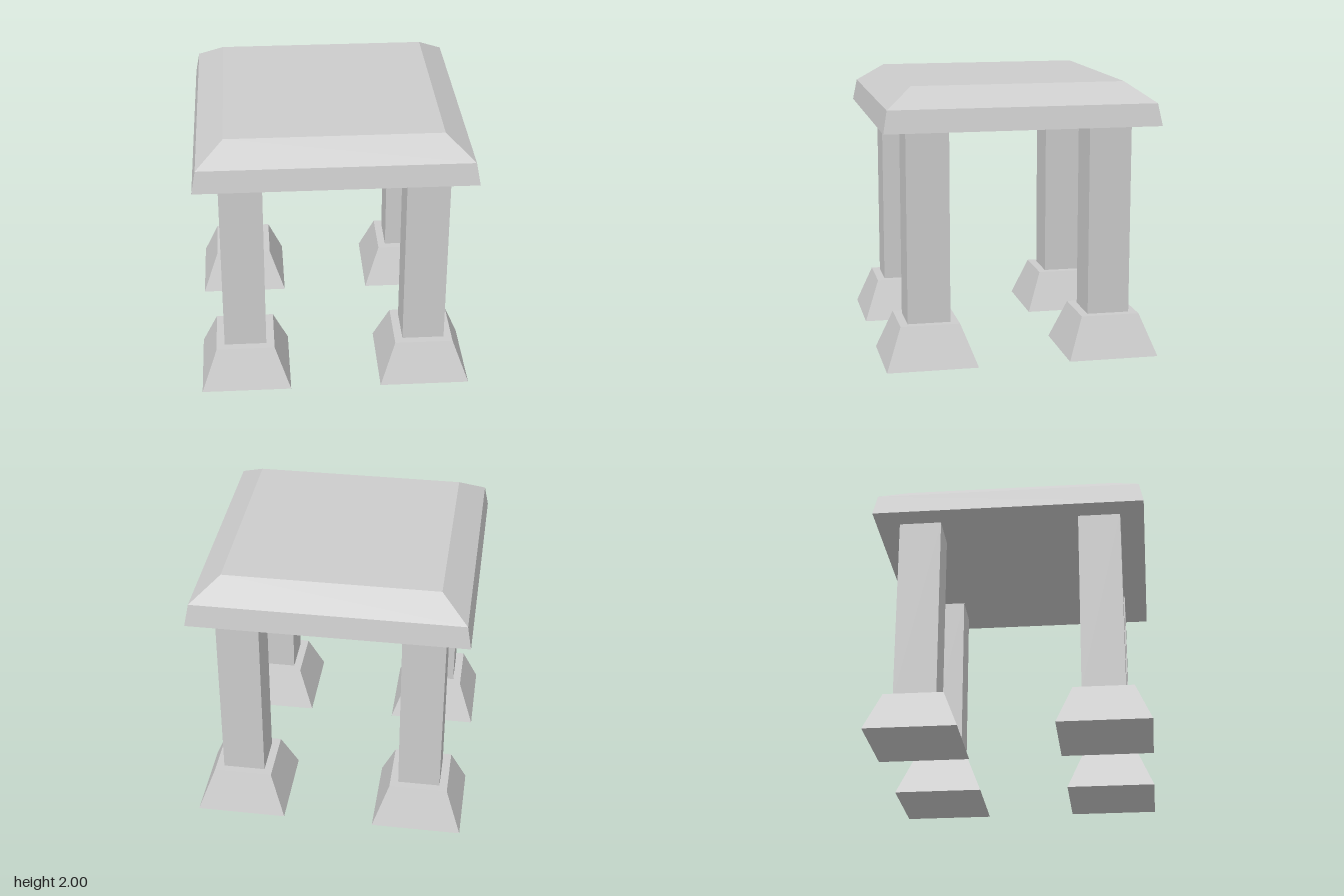
import * as THREE from 'three';

const material = new THREE.MeshStandardMaterial({ color: 0xcccccc, flatShading: true });

// Closed square solid through [halfWidth, y] sections, from bottom to top
function squareLoft(name, sections) {
  const points = [[0, sections[0][1]]];
  sections.forEach(([h, y]) => points.push([h, y]));
  points.push([0, sections[sections.length - 1][1]]);
  const profile = points.map(([h, y]) => new THREE.Vector2(h * Math.SQRT2, y));
  const geometry = new THREE.LatheGeometry(profile, 4, Math.PI / 4).toNonIndexed();
  geometry.computeVertexNormals();
  const mesh = new THREE.Mesh(geometry, material);
  mesh.name = name;
  return mesh;
}

export function createModel() {
  const model = new THREE.Group();
  model.name = 'stoneShelter';

  // Slab roof with a short steep rim and a wide bevel
  model.add(squareLoft('roof', [[0.995, 1.7], [0.965, 1.86], [0.77, 2]]));

  // Four square pillars, each on a tapered foot
  for (const [sideX, x] of [['left', 0.665], ['right', -0.665]]) {
    for (const [sideZ, z] of [['Front', 0.665], ['Back', -0.665]]) {
      const leg = new THREE.Group();
      leg.name = `${sideX}${sideZ}Leg`;
      leg.position.set(x, 0, z);
      const pillar = new THREE.Mesh(new THREE.BoxGeometry(0.31, 1.4, 0.31), material);
      pillar.name = 'pillar';
      pillar.position.y = 1;
      leg.add(pillar, squareLoft('foot', [[0.33, 0], [0.215, 0.3]]));
      model.add(leg);
    }
  }
  return model;
}
